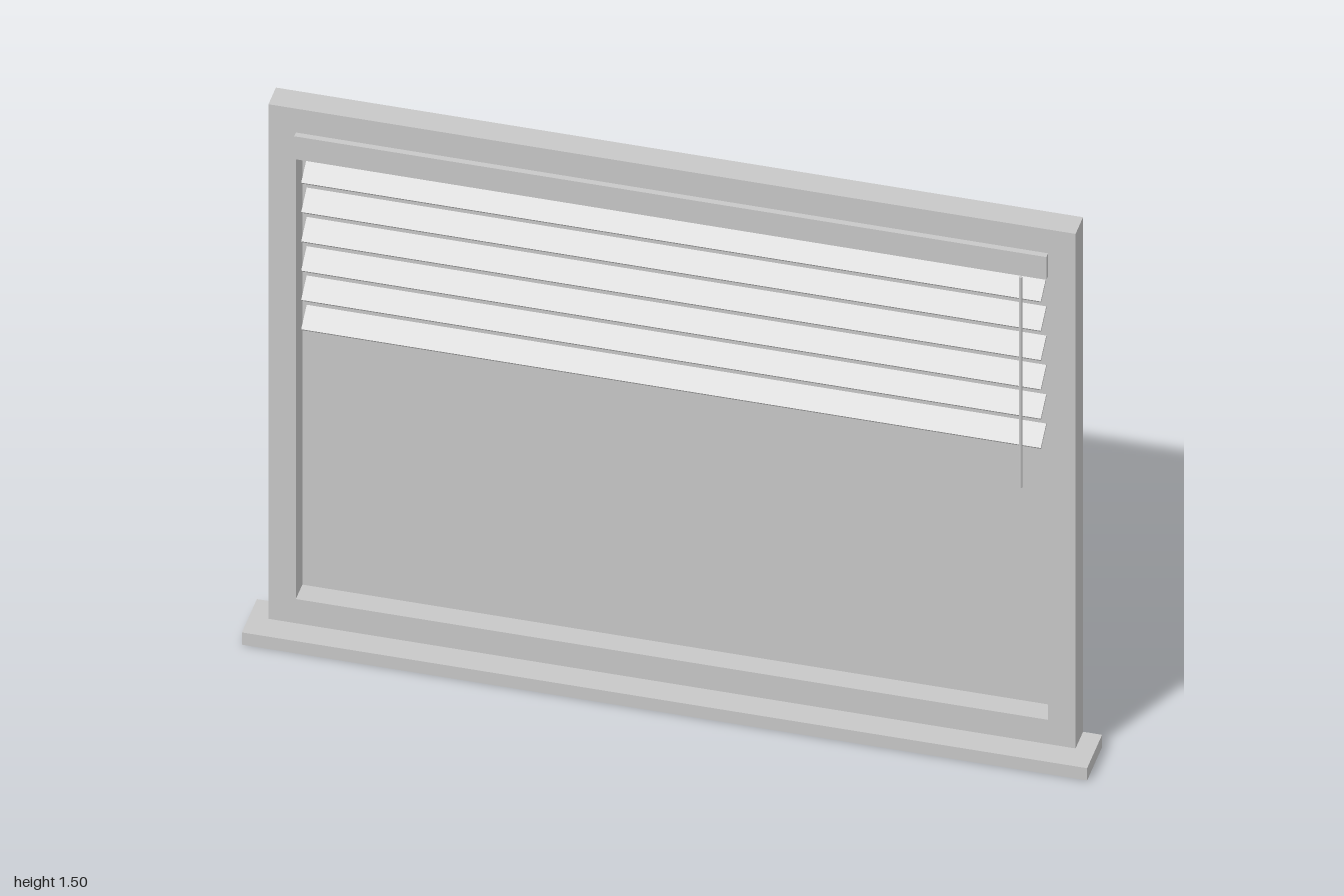
import * as THREE from 'three';

export function createModel() {
  const model = new THREE.Group();
  model.name = 'windowWithBlind';
  const grey = new THREE.MeshStandardMaterial({ color: 0xc8c8c8 });
  grey.name = 'grey';

  const add = (name, geometry, parent = model) => {
    const mesh = new THREE.Mesh(geometry, grey);
    mesh.name = name;
    parent.add(mesh);
    return mesh;
  };
  // Box given by its limits on each axis
  const box = (name, x0, x1, y0, y1, z0, z1) => {
    const mesh = add(name, new THREE.BoxGeometry(x1 - x0, y1 - y0, z1 - z0));
    mesh.position.set((x0 + x1) / 2, (y0 + y1) / 2, (z0 + z1) / 2);
    return mesh;
  };
  const rectangle = (target, x, y0, y1) => {
    target.moveTo(-x, y0).lineTo(x, y0).lineTo(x, y1).lineTo(-x, y1).closePath();
    return target;
  };

  // Frame with its rectangular opening
  const outline = rectangle(new THREE.Shape(), 0.955, 0.035, 1.503);
  outline.holes.push(rectangle(new THREE.Path(), 0.89, 0.104, 1.435));
  const frame = new THREE.ExtrudeGeometry(outline, { depth: 0.066, bevelEnabled: false });
  add('frame', frame.translate(0, 0, -0.066));

  // Sill and recessed pane
  box('sill', -1, 1, 0, 0.035, -0.066, 0.066);
  box('pane', -0.89, 0.89, 0.104, 1.435, -0.062, -0.057);

  // Blind: head rail, tilted slats and control wand
  box('headRail', -0.89, 0.89, 1.37, 1.435, -0.05, 0.015);
  const slats = new THREE.Group();
  slats.name = 'slats';
  model.add(slats);
  const slatGeometry = new THREE.BoxGeometry(1.75, 0.006, 0.06);
  for (let i = 0; i < 6; i++) {
    const slat = add('slat', slatGeometry, slats);
    slat.position.set(0, 1.316 - i * 0.0836, -0.017);
    slat.rotation.x = 0.61;
  }
  const wand = add('wand', new THREE.CylinderGeometry(0.004, 0.004, 0.6, 8));
  wand.position.set(0.83, 1.07, 0.019);

  return model;
}
